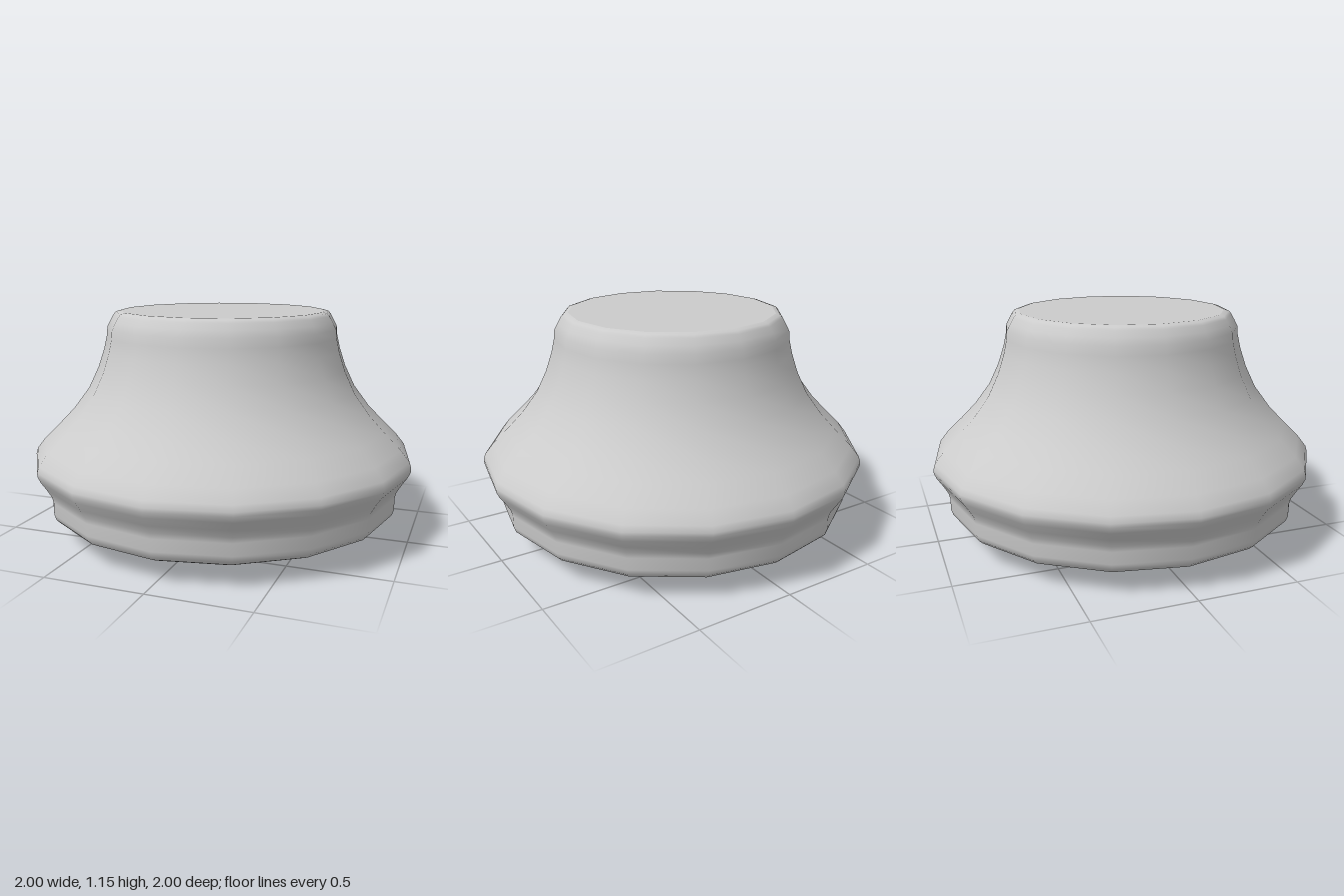
import * as THREE from 'three';

const SIDES = 16;

// Revolve a bottom-to-top outline of [radius, height] pairs
function turned(name, outline) {
  const points = outline.map(([r, y]) => new THREE.Vector2(r, y));
  const mesh = new THREE.Mesh(
    new THREE.LatheGeometry(points, SIDES),
    new THREE.MeshStandardMaterial({ color: 0xcccccc })
  );
  mesh.name = name;
  return mesh;
}

export function createModel() {
  const group = new THREE.Group();
  group.name = 'turnedKnob';

  // Shallow domed underside
  group.add(turned('underside', [
    [0, 0], [0.17, 0.006], [0.34, 0.017], [0.5, 0.032],
    [0.65, 0.052], [0.76, 0.07], [0.84, 0.09], [0.895, 0.115],
  ]));

  // Foot band, waist groove, rim and flared neck with rounded top edge
  group.add(turned('body', [
    [0.895, 0.115], [0.915, 0.135], [0.925, 0.165], [0.925, 0.225],
    [0.932, 0.255], [0.955, 0.295], [0.985, 0.34], [0.998, 0.37],
    [0.999, 0.39], [0.99, 0.42], [0.945, 0.477], [0.865, 0.555],
    [0.785, 0.638], [0.705, 0.745], [0.652, 0.855], [0.62, 0.95],
    [0.604, 1.02], [0.6, 1.065], [0.582, 1.1], [0.565, 1.13],
    [0.553, 1.143], [0.53, 1.15],
  ]));

  // Flat top face
  group.add(turned('topFace', [[0.53, 1.15], [0, 1.15]]));

  return group;
}
